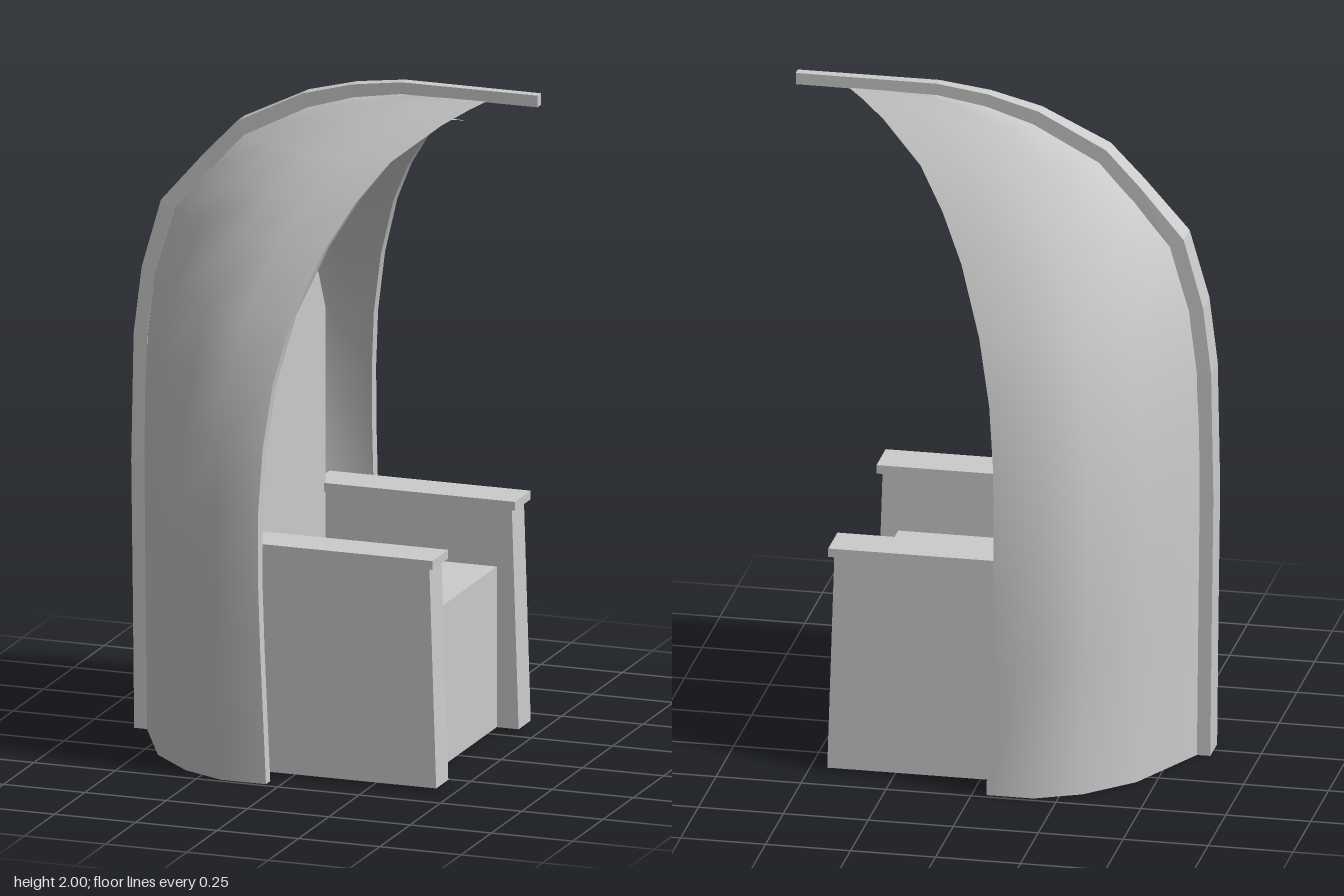
import * as THREE from 'three';

const smooth = new THREE.MeshStandardMaterial({ color: 0xcccccc, side: THREE.DoubleSide });
const flat = new THREE.MeshStandardMaterial({ color: 0xcccccc, flatShading: true });

function add(parent, name, geometry, material = flat) {
  const mesh = new THREE.Mesh(geometry, material);
  mesh.name = name;
  parent.add(mesh);
  return mesh;
}

// Surface through rows of points; flip turns the faces over
function grid(rows, flip = false) {
  const n = rows[0].length, index = [];
  for (let i = 0; i < rows.length - 1; i++) {
    for (let j = 0; j < n - 1; j++) {
      const a = i * n + j, b = a + 1, c = a + n, d = c + 1;
      if (flip) index.push(a, b, c, b, d, c);
      else index.push(a, c, b, b, c, d);
    }
  }
  const g = new THREE.BufferGeometry().setFromPoints(rows.flat());
  g.setIndex(index);
  g.computeVertexNormals();
  return g;
}

// Box from x0..x1, y0..y1, z0..z1
function box(x0, x1, y0, y1, z0, z1) {
  return new THREE.BoxGeometry(x1 - x0, y1 - y0, z1 - z0)
    .translate((x0 + x1) / 2, (y0 + y1) / 2, (z0 + z1) / 2);
}

// Hood: one plan section per height [y, back x, front x, half width, half width at back]
const sections = [
  [0, -0.572, -0.042, 0.485, 0.045], [0.4, -0.576, -0.056, 0.495, 0.045],
  [0.6, -0.578, -0.062, 0.496, 0.045],
  [0.8, -0.58, -0.065, 0.49, 0.045], [1.0, -0.578, -0.058, 0.467, 0.045],
  [1.18, -0.57, -0.04, 0.435, 0.044], [1.37, -0.548, 0.0, 0.385, 0.042],
  [1.56, -0.49, 0.07, 0.30, 0.039], [1.69, -0.385, 0.14, 0.23, 0.033],
  [1.8, -0.28, 0.22, 0.158, 0.029], [1.9, -0.09, 0.345, 0.075, 0.02],
  [1.943, 0.05, 0.415, 0.036, 0.017], [1.967, 0.2, 0.46, 0.015, 0.013],
];
const plan = [[0, 0], [0.24, 0.57], [0.49, 0.86], [0.74, 1], [1, 1]];
const wall = 0.036, innerTop = 1.9;

function hood() {
  const group = new THREE.Group();
  group.name = 'hood';
  const outer = sections.map(([y, back, front, w, hw]) => {
    const half = s => plan.map(([u, f]) =>
      new THREE.Vector3(back + (front - back) * u, y, s * (hw + (w - hw) * f)));
    return [...half(1).reverse(), ...half(-1)];
  });
  const outerGeometry = grid(outer);
  const normals = outerGeometry.attributes.normal;
  const n = outer[0].length;

  // Inner skin follows the outer one at the wall thickness and ends below the peak;
  // along the front opening it is offset sideways only
  const inner = outer.map((row, i) => row.map((p, j) => {
    const q = p.clone();
    if (j === 0 || j === n - 1) {
      q.z -= Math.sign(p.z) * wall;
      q.x = Math.min(q.x, 0.345);
    } else {
      q.addScaledVector(new THREE.Vector3().fromBufferAttribute(normals, i * n + j), -wall);
    }
    if (i === 0) q.y = 0;
    q.y = Math.min(q.y, innerTop);
    if (q.z * p.z < 0) q.z = 0;
    return q;
  }));
  add(group, 'hoodOuterSkin', outerGeometry, smooth);
  add(group, 'hoodInnerSkin', grid(inner, true), smooth);
  add(group, 'hoodBottomRim', grid([inner[0], outer[0]]), smooth);
  for (const j of [0, n - 1]) {
    const edge = [outer.map(r => r[j]), inner.map(r => r[j])];
    add(group, j ? 'rearOpeningRim' : 'frontOpeningRim', grid(edge, j > 0), smooth);
  }
  return group;
}

// Spine: outer x, y, inner x, y, half width
const spinePath = [
  [-0.61, 0, -0.57, 0, 0.048], [-0.614, 0.4, -0.574, 0.4, 0.048],
  [-0.619, 0.8, -0.578, 0.8, 0.048], [-0.612, 1.18, -0.57, 1.18, 0.047],
  [-0.588, 1.38, -0.547, 1.36, 0.045], [-0.53, 1.585, -0.49, 1.56, 0.042],
  [-0.4, 1.735, -0.38, 1.69, 0.036], [-0.3, 1.84, -0.28, 1.8, 0.033],
  [-0.1, 1.94, -0.085, 1.9, 0.024], [0.05, 1.98, 0.055, 1.942, 0.019],
  [0.2, 2, 0.2, 1.965, 0.016], [0.617, 2, 0.617, 1.965, 0.014],
];

function spine() {
  const rings = spinePath.map(([ox, oy, ix, iy, w]) => [
    new THREE.Vector3(ox, oy, w), new THREE.Vector3(ox, oy, -w),
    new THREE.Vector3(ix, iy, -w), new THREE.Vector3(ix, iy, w),
    new THREE.Vector3(ox, oy, w)]);
  const g = grid(rings);
  const last = (rings.length - 1) * 5;
  g.setIndex([...g.index.array, 0, 1, 2, 0, 2, 3,
    last, last + 2, last + 1, last, last + 3, last + 2]);
  return g;
}

export function createModel() {
  const model = new THREE.Group();
  model.name = 'hoodedChair';
  model.add(hood());
  const spineMaterial = flat.clone();
  spineMaterial.side = THREE.DoubleSide;
  add(model, 'spine', spine(), spineMaterial);

  const rear = -0.178;
  add(model, 'seat', box(rear, 0.379, 0.01, 0.49, -0.292, 0.292));

  // Backrest with a faceted arch
  const arch = [[0.29, 0.01], [0.29, 1.21], [0.23, 1.335], [0.125, 1.42]];
  const outline = [...arch, [0, 1.45], ...arch.map(([z, y]) => [-z, y]).reverse()];
  const shape = new THREE.Shape(outline.map(([z, y]) => new THREE.Vector2(z, y)));
  const back = add(model, 'backrest',
    new THREE.ExtrudeGeometry(shape, { depth: 0.031, bevelEnabled: false }));
  back.rotation.y = Math.PI / 2;
  back.position.x = rear;

  // Arms lean back slightly at the front and carry a flat cap
  for (const s of [1, -1]) {
    const arm = new THREE.Group();
    arm.name = s > 0 ? 'frontArm' : 'rearArm';
    const panel = box(rear, 0.446, 0.01, 0.67, s * 0.34 - 0.05, s * 0.34 + 0.05);
    const p = panel.attributes.position;
    for (let i = 0; i < p.count; i++) {
      if (p.getX(i) > 0 && p.getY(i) > 0.5) p.setX(i, 0.425);
    }
    add(arm, 'armPanel', panel);
    add(arm, 'armCap', box(rear, 0.44, 0.667, 0.693, s * 0.34 - 0.065, s * 0.34 + 0.065));
    model.add(arm);
  }
  return model;
}
